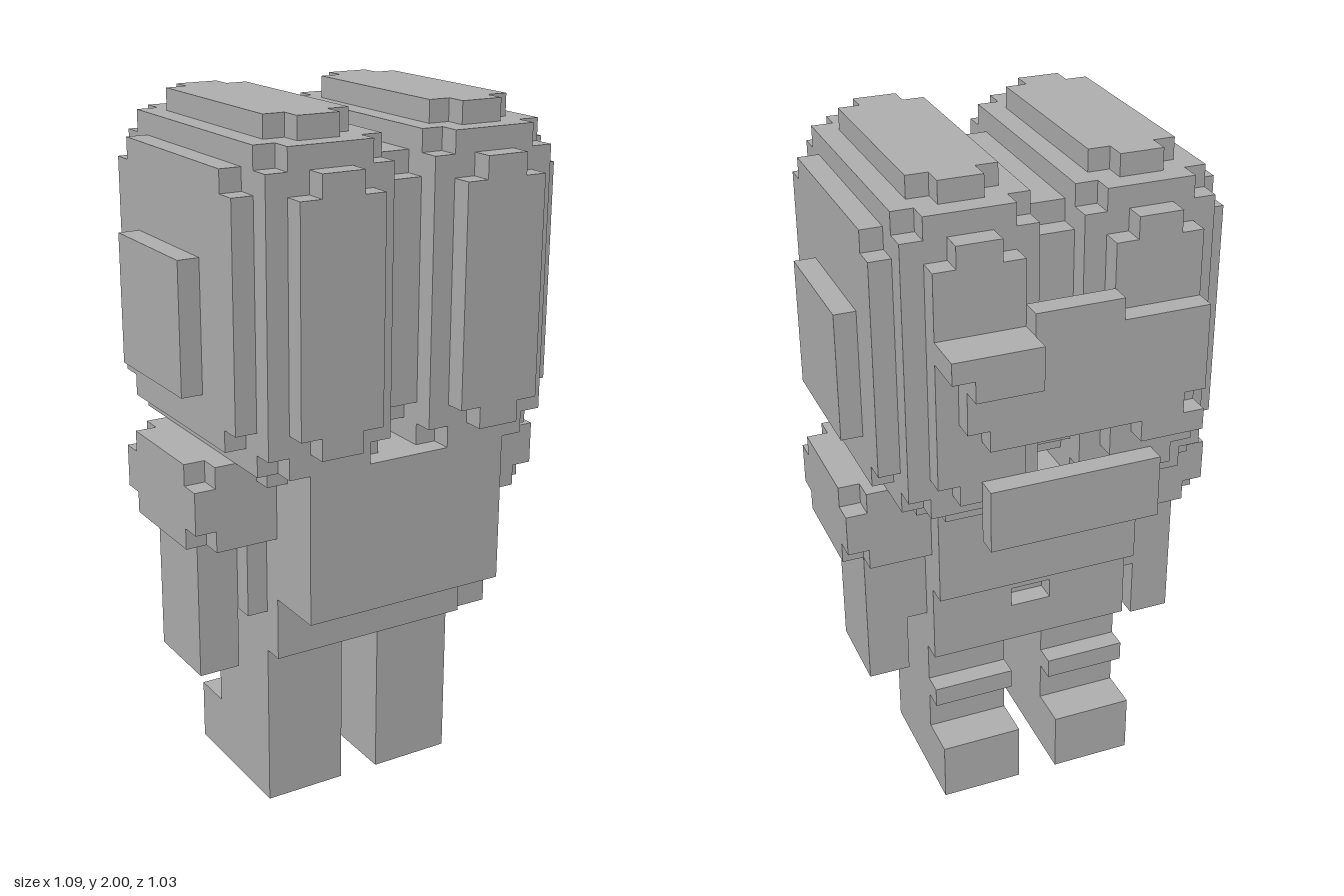
import * as THREE from 'three';

const U = 2 / 33; // one voxel

export function createModel() {
  const model = new THREE.Group();
  const grey = new THREE.MeshStandardMaterial({ color: 0xb0b0b0 });

  // Block from min/max corners, in voxels
  function block(parent, name, x0, x1, y0, y1, z0, z1) {
    const geo = new THREE.BoxGeometry((x1 - x0) * U, (y1 - y0) * U, (z1 - z0) * U);
    geo.translate(((x0 + x1) / 2) * U, ((y0 + y1) / 2) * U, ((z0 + z1) / 2) * U);
    const mesh = new THREE.Mesh(geo, grey);
    mesh.name = name;
    parent.add(mesh);
  }

  // Block with its corner voxels cut: a union of boxes, each shrunk along one of the given axes
  function notched(parent, name, b, axes = [0, 1, 2]) {
    for (const a of axes) {
      const c = [...b];
      c[a * 2] += 1;
      c[a * 2 + 1] -= 1;
      block(parent, name, ...c);
    }
  }

  function group(name) {
    const g = new THREE.Group();
    g.name = name;
    model.add(g);
    return g;
  }

  // Mirrored x range for a side
  const span = (s, a, b) => (s > 0 ? [a, b] : [-b, -a]);

  // Head: two rounded lobes joined by a recessed middle
  const head = group('head');
  notched(head, 'headMiddle', [-1, 1, 19, 31, -4.5, 6.5], [1, 2]);
  for (const s of [1, -1]) {
    notched(head, 'lobeCore', [...span(s, 1, 7), 18, 32, -5.5, 7.5]);
    notched(head, 'lobeTopBottom', [...span(s, 2, 6), 17, 33, -4.5, 6.5], [0, 2]);
    notched(head, 'lobeFrontBack', [...span(s, 2, 6), 19, 31, -6.5, 8.5], [0, 1]);
    notched(head, 'lobeSide', [...span(s, 6, 8), 19, 31, -4.5, 6.5], [1, 2]);
    block(head, 'ear', ...span(s, 8, 9), 21, 27, -2.5, 3.5);
  }

  // Stepped mask on the back of the head
  const mask = group('mask');
  const rows = [[-2, 2, 27, 28], [-6, 6, 26, 27], [-6, 5, 23, 26], [-5, 4, 22, 23], [-6, -3, 21, 22]];
  for (const r of rows) block(mask, 'maskRow', ...r, -7.5, -6.5);
  block(mask, 'maskTip', 2, 6, 26, 27, -8.5, -7.5);
  block(mask, 'maskTipLower', 2, 5, 25, 26, -8.5, -7.5);
  block(mask, 'lowerBar', -4, 4, 17, 20, -7.5, -6.5);

  // Torso with a small recess front and back
  const torso = group('torso');
  block(torso, 'torsoCore', -5, 5, 8, 18, -1.5, 3.5);
  for (const [z0, z1] of [[-2.5, -1.5], [3.5, 4.5]]) {
    block(torso, 'torsoLayer', -5, 5, 11, 18, z0, z1);
    block(torso, 'torsoHem', -5, 5, 8, 10, z0, z1);
    for (const s of [1, -1]) block(torso, 'torsoBelt', ...span(s, 1, 5), 10, 11, z0, z1);
  }
  block(torso, 'chestPlate', -5, 5, 11, 18, 4.5, 7.5);
  block(torso, 'backPlate', -5, 5, 12, 18, -3.5, -2.5);

  for (const s of [1, -1]) {
    // Torso side and arm
    block(torso, 'torsoSide', ...span(s, 5, 6), 10, 18, -1.5, 3.5);
    const arm = group(s > 0 ? 'leftArm' : 'rightArm');
    block(arm, 'shoulder', ...span(s, 5, 9), 14, 18, -1.5, 3.5);
    block(arm, 'shoulderWide', ...span(s, 5, 9), 15, 17, -2.5, 4.5);
    block(arm, 'shoulderTall', ...span(s, 5, 8), 14, 18, -2.5, 4.5);
    block(arm, 'forearm', ...span(s, 6, 8), 7, 14, -1.5, 2.5);

    // Leg with foot and pad
    const leg = group(s > 0 ? 'leftLeg' : 'rightLeg');
    block(leg, 'shin', ...span(s, 1, 5), 0, 8, -1.5, 3.5);
    block(leg, 'foot', ...span(s, 1, 5), 0, 3, -3.5, -1.5);
    block(leg, 'legPad', ...span(s, 1, 5), 5, 6, -2.5, -1.5);
  }
  return model;
}
